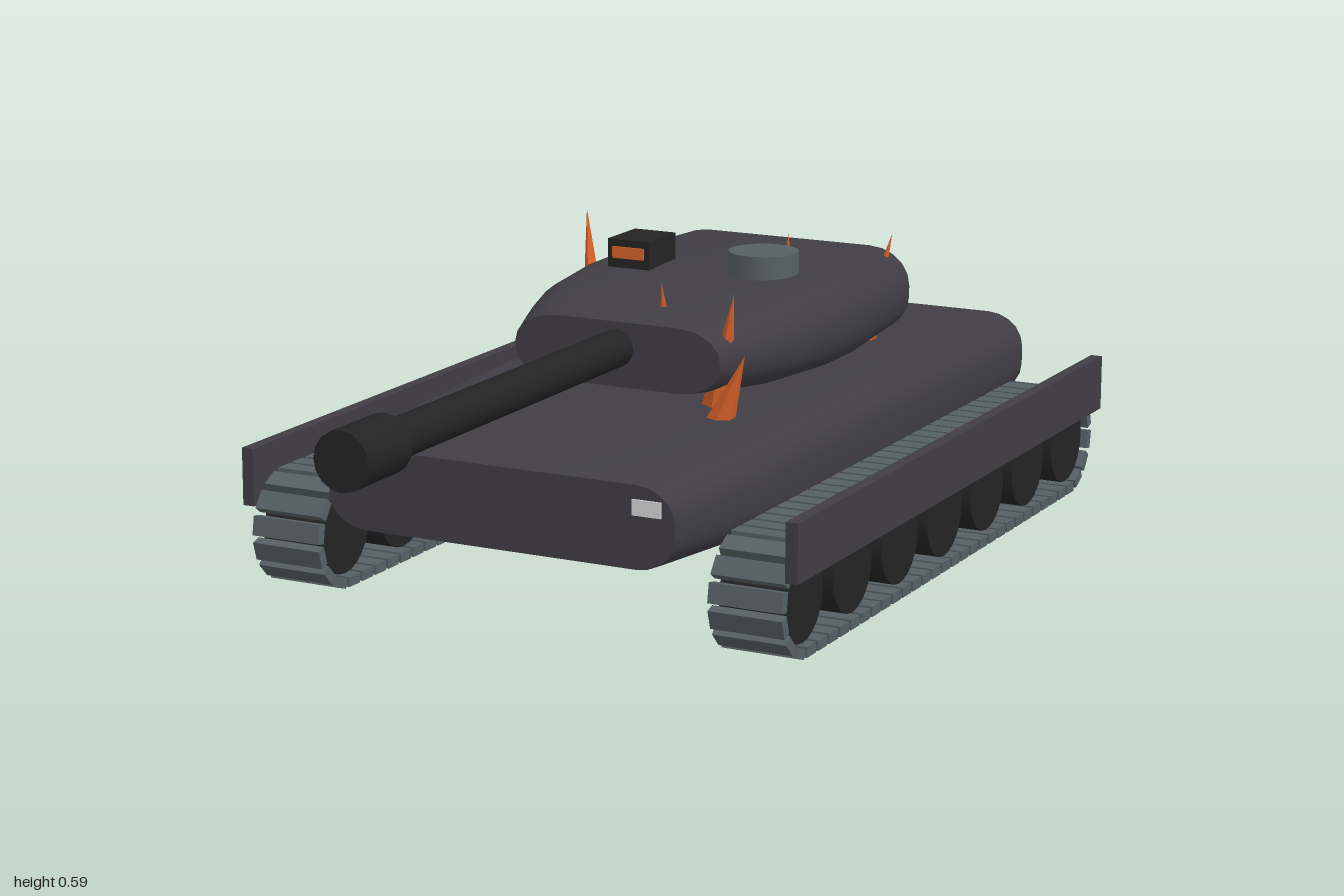
import * as THREE from 'three';
import { toCreasedNormals } from 'three/addons/utils/BufferGeometryUtils.js';

const paint = (name, color, extra = {}) => {
  const m = new THREE.MeshStandardMaterial({ color, ...extra });
  m.name = name;
  return m;
};

// Rounded-rectangle ring, counter-clockwise seen from the front
function ring([z, w, y0, y1, rx, ry]) {
  const pts = [], n = 5;
  const corners = [[w - rx, y1 - ry], [rx - w, y1 - ry], [rx - w, y0 + ry], [w - rx, y0 + ry]];
  corners.forEach(([cx, cy], q) => {
    for (let i = 0; i <= n; i++) {
      const a = (q + i / n) * Math.PI / 2;
      pts.push([cx + Math.cos(a) * rx, cy + Math.sin(a) * ry, z]);
    }
  });
  return pts;
}

// Skin over rings listed front to back, closed with flat caps
function loft(sections) {
  const rings = sections.map(ring), n = rings[0].length;
  const pos = rings.flat(2), index = [];
  for (let s = 0; s < rings.length - 1; s++) {
    for (let i = 0; i < n; i++) {
      const a = s * n + i, b = s * n + (i + 1) % n;
      index.push(a, a + n, b, b, a + n, b + n);
    }
  }
  const last = (rings.length - 1) * n;
  for (let i = 1; i < n - 1; i++) {
    index.push(0, i, i + 1, last, last + i + 1, last + i);
  }
  const g = new THREE.BufferGeometry();
  g.setAttribute('position', new THREE.Float32BufferAttribute(pos, 3));
  g.setIndex(index);
  return toCreasedNormals(g, 0.6);
}

export function createModel() {
  const model = new THREE.Group();
  model.name = 'tank';
  const armour = paint('armour charcoal', 0x403e44);
  const black = paint('gun black', 0x242424);
  const steel = paint('track steel', 0x566064);
  const orange = paint('crystal orange', 0xd8622a, { flatShading: true });
  const white = paint('lamp white', 0xd8d8d8);

  const add = (parent, name, geometry, material, x = 0, y = 0, z = 0) => {
    const m = new THREE.Mesh(geometry, material);
    m.name = name;
    m.position.set(x, y, z);
    parent.add(m);
    return m;
  };
  const box = (w, h, d) => new THREE.BoxGeometry(w, h, d);

  // Hull and turret: z, half width, bottom, top, corner radii
  add(model, 'hull', loft([
    [0.5, 0.343, 0.156, 0.305, 0.075, 0.06],
    [0.25, 0.373, 0.147, 0.32, 0.075, 0.065],
    [0, 0.383, 0.142, 0.33, 0.075, 0.07],
    [-0.35, 0.386, 0.14, 0.336, 0.075, 0.07],
    [-0.7, 0.382, 0.145, 0.332, 0.075, 0.07],
    [-1, 0.366, 0.156, 0.322, 0.075, 0.065],
  ]), armour);
  add(model, 'turret', loft([
    [0.065, 0.21, 0.355, 0.476, 0.085, 0.056],
    [-0.03, 0.243, 0.346, 0.49, 0.09, 0.065],
    [-0.13, 0.271, 0.34, 0.5, 0.09, 0.07],
    [-0.3, 0.288, 0.335, 0.508, 0.09, 0.075],
    [-0.42, 0.287, 0.335, 0.51, 0.09, 0.075],
    [-0.66, 0.262, 0.34, 0.507, 0.085, 0.072],
  ]), armour);

  // Gun
  const tube = (r, l) => new THREE.CylinderGeometry(r, r, l, 16).rotateX(Math.PI / 2);
  add(model, 'barrel', tube(0.035, 0.9), black, 0, 0.427, 0.45);
  add(model, 'muzzle', tube(0.052, 0.135), black, 0, 0.427, 0.9325);

  // Roof fittings
  add(model, 'hatch', new THREE.CylinderGeometry(0.067, 0.067, 0.06, 24), steel, 0.11, 0.52, -0.32);
  add(model, 'sight', box(0.088, 0.065, 0.11), black, -0.138, 0.5275, -0.3);
  add(model, 'sightLens', box(0.066, 0.022, 0.006), orange, -0.138, 0.535, -0.244);

  // Running gear
  const yc = 0.106, r = 0.096, zFront = 0.362, zBack = -0.867;
  const straight = zFront - zBack, arc = Math.PI * r, links = 68;
  const linkGeo = box(0.14, 0.019, 0.036);
  const wheelGeo = new THREE.CylinderGeometry(0.081, 0.081, 0.12, 24).rotateZ(Math.PI / 2);
  for (const s of [-1, 1]) {
    const side = new THREE.Group();
    side.name = s > 0 ? 'leftRunningGear' : 'rightRunningGear';
    model.add(side);
    add(side, 'skirt', box(0.023, 0.107, 1.42), armour, s * 0.5415, 0.2105, -0.25);
    for (let i = 0; i < 7; i++) {
      add(side, 'wheel', wheelGeo, black, s * 0.459, yc, 0.365 - i * 0.2045);
    }
    // Links follow a loop: top, back curve, bottom, front curve
    for (let i = 0; i < links; i++) {
      let d = i / links * 2 * (straight + arc);
      const lower = d >= straight + arc;
      if (lower) d -= straight + arc;
      const a = (lower ? Math.PI : 0) + Math.max(0, d - straight) / r;
      const run = Math.min(d, straight);
      const z0 = lower ? zBack + run : zFront - run;
      const link = add(side, 'trackLink', linkGeo, steel,
        s * 0.459, yc + Math.cos(a) * r, z0 - Math.sin(a) * r);
      link.rotation.x = -a;
    }
    // Lamps
    add(model, 'headlight', box(0.055, 0.028, 0.008), white, s * 0.29, 0.266, 0.5);
    add(model, 'tailLight', box(0.042, 0.02, 0.008), orange, s * 0.3, 0.27, -1);
  }

  // Crystal spikes: base, tip, base radius
  const spikes = [
    [[-0.19, 0.13, -0.24], [-0.29, 0.59, -0.36], 0.05],
    [[0.03, 0.08, -0.14], [0.048, 0.54, -0.02], 0.05],
    [[0.14, 0.085, -0.57], [0.235, 0.54, -0.635], 0.052],
    [[0.04, 0.25, -0.56], [0.05, 0.538, -0.555], 0.035],
    [[0.155, 0.22, -0.01], [0.22, 0.54, 0.03], 0.045],
    [[0.18, 0.22, 0.075], [0.272, 0.445, 0.09], 0.047],
  ];
  const up = new THREE.Vector3(0, 1, 0);
  for (const [base, tip, radius] of spikes) {
    const a = new THREE.Vector3(...base), b = new THREE.Vector3(...tip);
    const axis = b.clone().sub(a);
    const spike = add(model, 'crystalSpike', new THREE.ConeGeometry(radius, axis.length(), 6), orange);
    spike.position.copy(a).add(b).multiplyScalar(0.5);
    spike.quaternion.setFromUnitVectors(up, axis.normalize());
  }
  return model;
}
